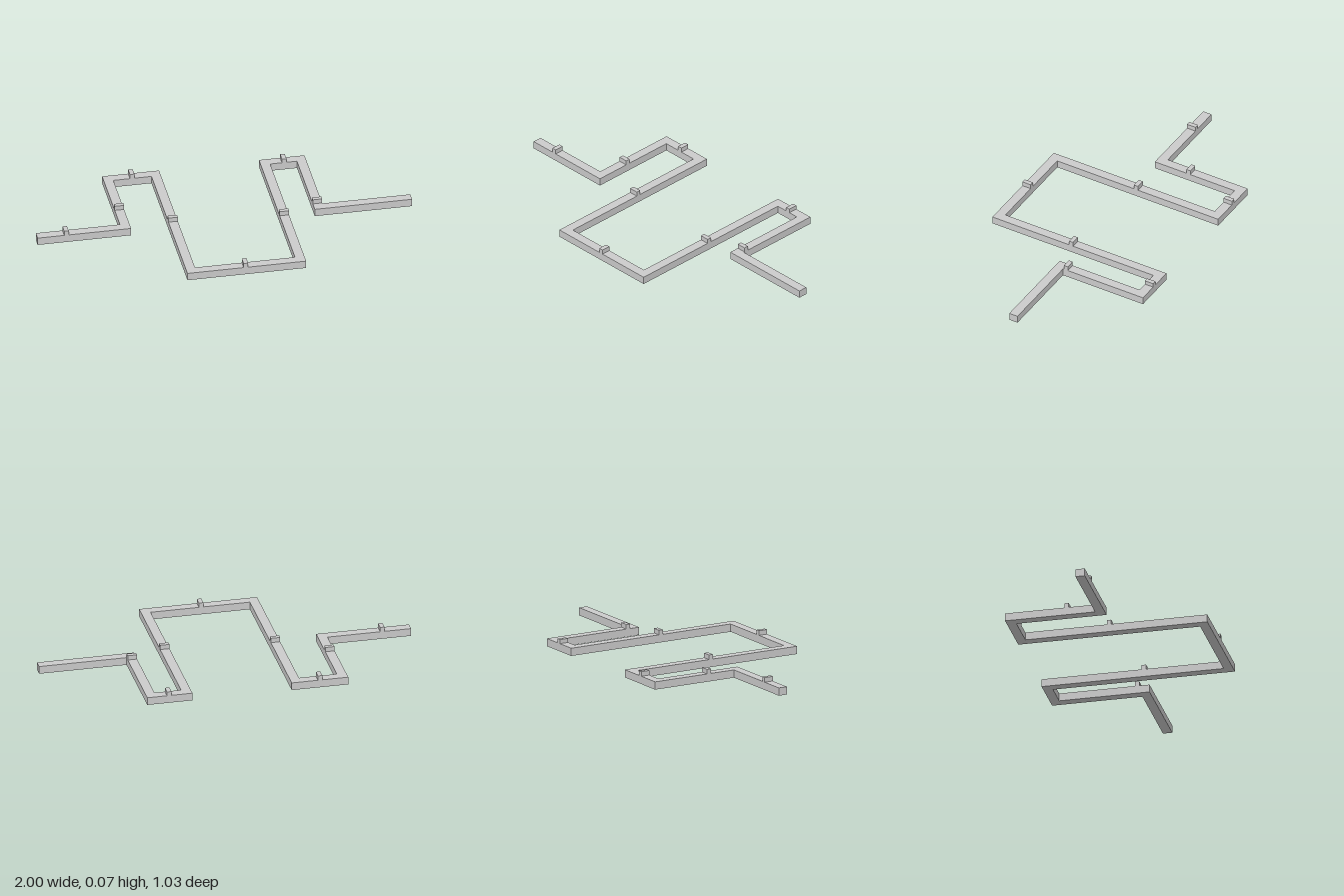
import * as THREE from 'three';

const HALF = 0.025;    // half the wall thickness
const WALL_H = 0.042;
const TOP = 0.067;     // top of the raised blocks

// Centre line of the meandering wall as [x, z]
const PATH = [
  [-1, -0.005], [-0.526, -0.005], [-0.526, -0.49], [-0.272, -0.49], [-0.272, 0.489],
  [0.312, 0.489], [0.312, -0.491], [0.505, -0.491], [0.505, -0.005], [1, -0.005],
];

// Blocks: [segment index, position along that segment's axis, top height]
const BLOCKS = [
  [0, -0.846, TOP], [1, -0.184, TOP], [2, -0.4, TOP], [3, -0.015, TOP],
  [4, 0.015, TOP], [5, 0.035, TOP], [6, 0.412, 0.064], [7, -0.047, TOP],
];

// Unit normal of one path segment
function normal(i) {
  const [a, b] = [PATH[i], PATH[i + 1]];
  return [-Math.sign(b[1] - a[1]), Math.sign(b[0] - a[0])];
}

// Path moved sideways, mitred at its right-angled corners
function offset(d) {
  return PATH.map(([x, z], i) => {
    const sides = [];
    if (i > 0) sides.push(normal(i - 1));
    if (i < PATH.length - 1) sides.push(normal(i));
    for (const n of sides) { x += n[0] * d; z += n[1] * d; }
    return new THREE.Vector2(x, -z);
  });
}

export function createModel() {
  const group = new THREE.Group();
  const material = new THREE.MeshStandardMaterial({ color: 0xcccccc });

  // Wall: one continuous outline raised to its height
  const outline = new THREE.Shape([...offset(HALF), ...offset(-HALF).reverse()]);
  const wallGeo = new THREE.ExtrudeGeometry(outline, { depth: WALL_H, bevelEnabled: false });
  wallGeo.rotateX(-Math.PI / 2);
  const wall = new THREE.Mesh(wallGeo, material);
  wall.name = 'wall';
  group.add(wall);

  // Small blocks sitting across the top of the wall
  const blocks = new THREE.Group();
  blocks.name = 'topBlocks';
  BLOCKS.forEach(([seg, at, top], i) => {
    const alongX = seg % 2 === 0;
    const h = top - WALL_H;
    const geo = new THREE.BoxGeometry(alongX ? 0.024 : HALF * 2, h, alongX ? HALF * 2 : 0.024);
    const block = new THREE.Mesh(geo, material);
    block.position.set(alongX ? at : PATH[seg][0], WALL_H + h / 2, alongX ? PATH[seg][1] : at);
    block.name = `topBlock${i + 1}`;
    blocks.add(block);
  });
  group.add(blocks);

  return group;
}
